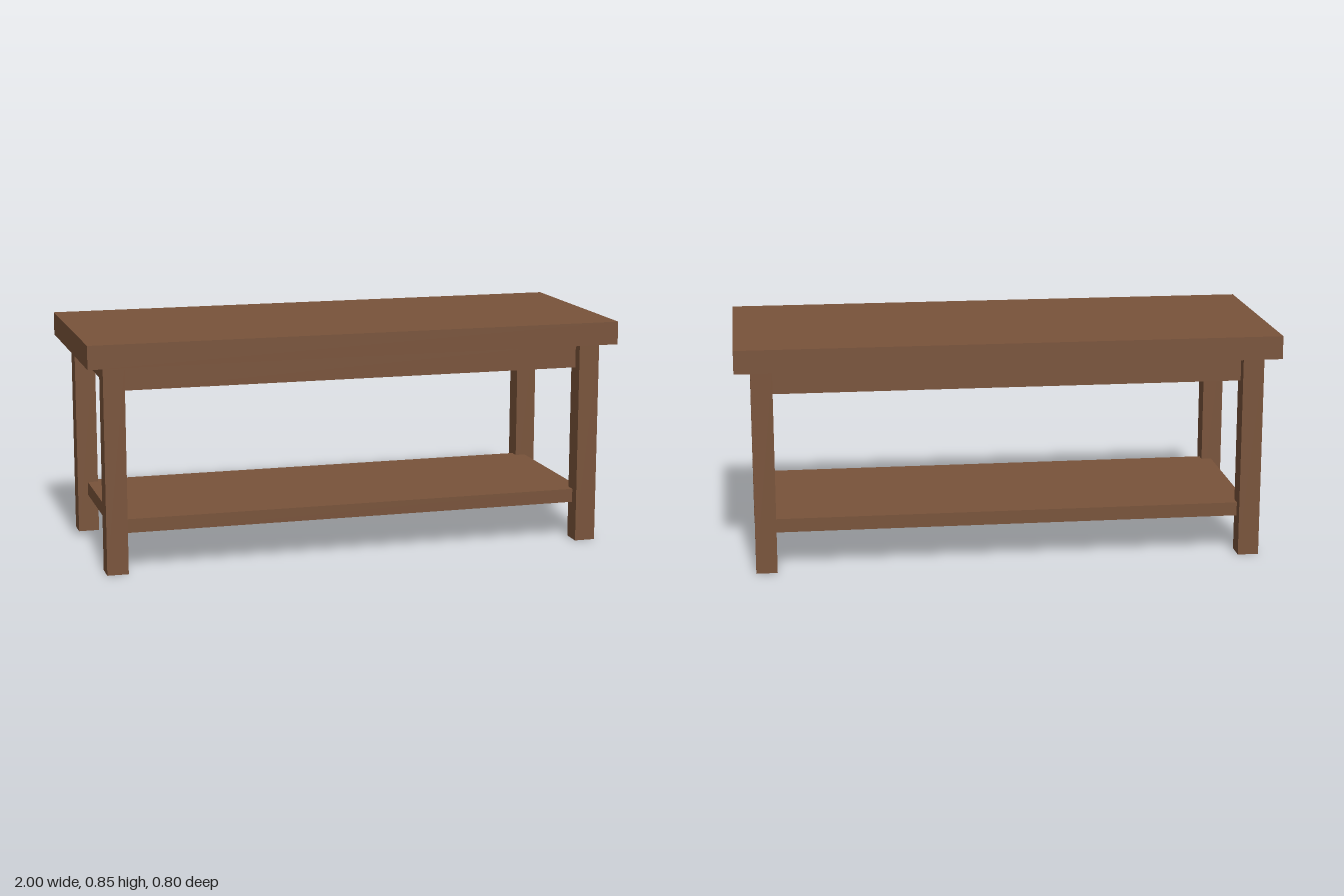
import * as THREE from 'three';

export function createModel() {
  const group = new THREE.Group();
  const wood = new THREE.MeshStandardMaterial({ color: 0x79533a });
  wood.name = 'brown wood';

  // Box given by its size, bottom height and centre
  function board(name, width, depth, bottom, top, x = 0, z = 0) {
    const mesh = new THREE.Mesh(new THREE.BoxGeometry(width, top - bottom, depth), wood);
    mesh.name = name;
    mesh.position.set(x, (bottom + top) / 2, z);
    group.add(mesh);
  }

  const legX = 0.902, legZ = 0.325, legSize = 0.078;

  // Top slab, overhanging the legs
  board('tableTop', 2, 0.8, 0.76, 0.846);

  // Apron and lower shelf reach to the middle of the legs
  board('apron', legX * 2, legZ * 2, 0.666, 0.76);
  board('shelf', legX * 2, legZ * 2, 0.143, 0.194);

  // Four square legs
  for (const [sideName, sx] of [['Left', 1], ['Right', -1]]) {
    for (const [endName, sz] of [['front', 1], ['back', -1]]) {
      board(endName + sideName + 'Leg', legSize, legSize, 0, 0.76, sx * legX, sz * legZ);
    }
  }

  return group;
}
